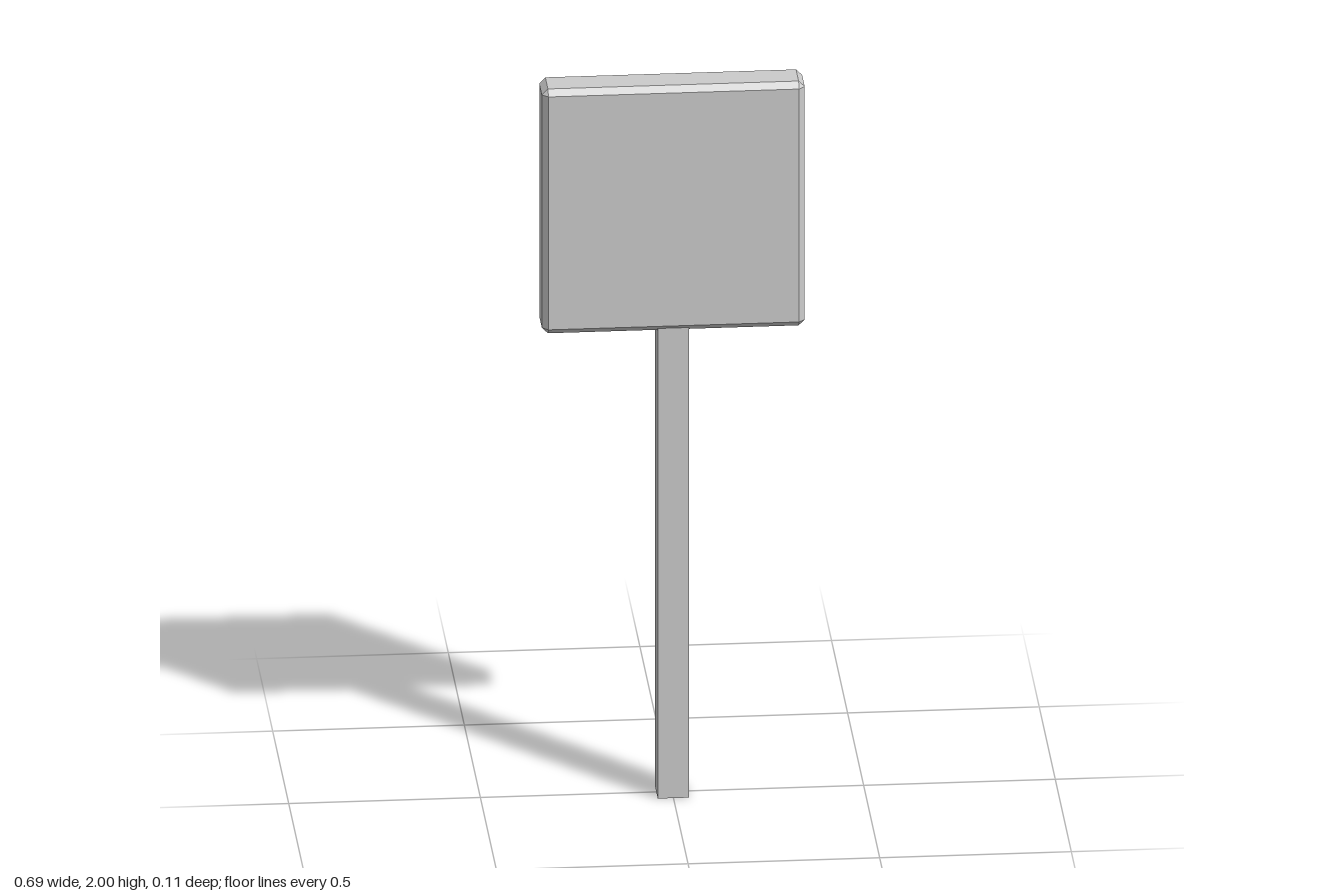
import * as THREE from 'three';
import { ConvexGeometry } from 'three/addons/geometries/ConvexGeometry.js';

// Box with all edges and corners cut by a flat chamfer
function chamferedBox(width, height, depth, bevel) {
  const half = [width / 2, height / 2, depth / 2];
  const points = [];
  for (const sx of [-1, 1]) for (const sy of [-1, 1]) for (const sz of [-1, 1]) {
    // three points per corner, one on each adjoining face
    for (let face = 0; face < 3; face++) {
      const p = half.map((h, axis) => (axis === face ? h : h - bevel));
      points.push(new THREE.Vector3(sx * p[0], sy * p[1], sz * p[2]));
    }
  }
  return new ConvexGeometry(points);
}

export function createModel() {
  const group = new THREE.Group();
  group.name = 'signPost';
  const material = new THREE.MeshStandardMaterial({ color: 0xcccccc, flatShading: true });

  // Square post, its top set slightly into the panel
  const postHeight = 1.33;
  const post = new THREE.Mesh(new THREE.BoxGeometry(0.082, postHeight, 0.092), material);
  post.name = 'post';
  post.position.y = postHeight / 2;

  // Chamfered sign panel
  const panelSize = 0.686;
  const panel = new THREE.Mesh(chamferedBox(panelSize, panelSize, 0.112, 0.016), material);
  panel.name = 'signPanel';
  panel.position.y = 2 - panelSize / 2;

  group.add(post, panel);
  return group;
}
